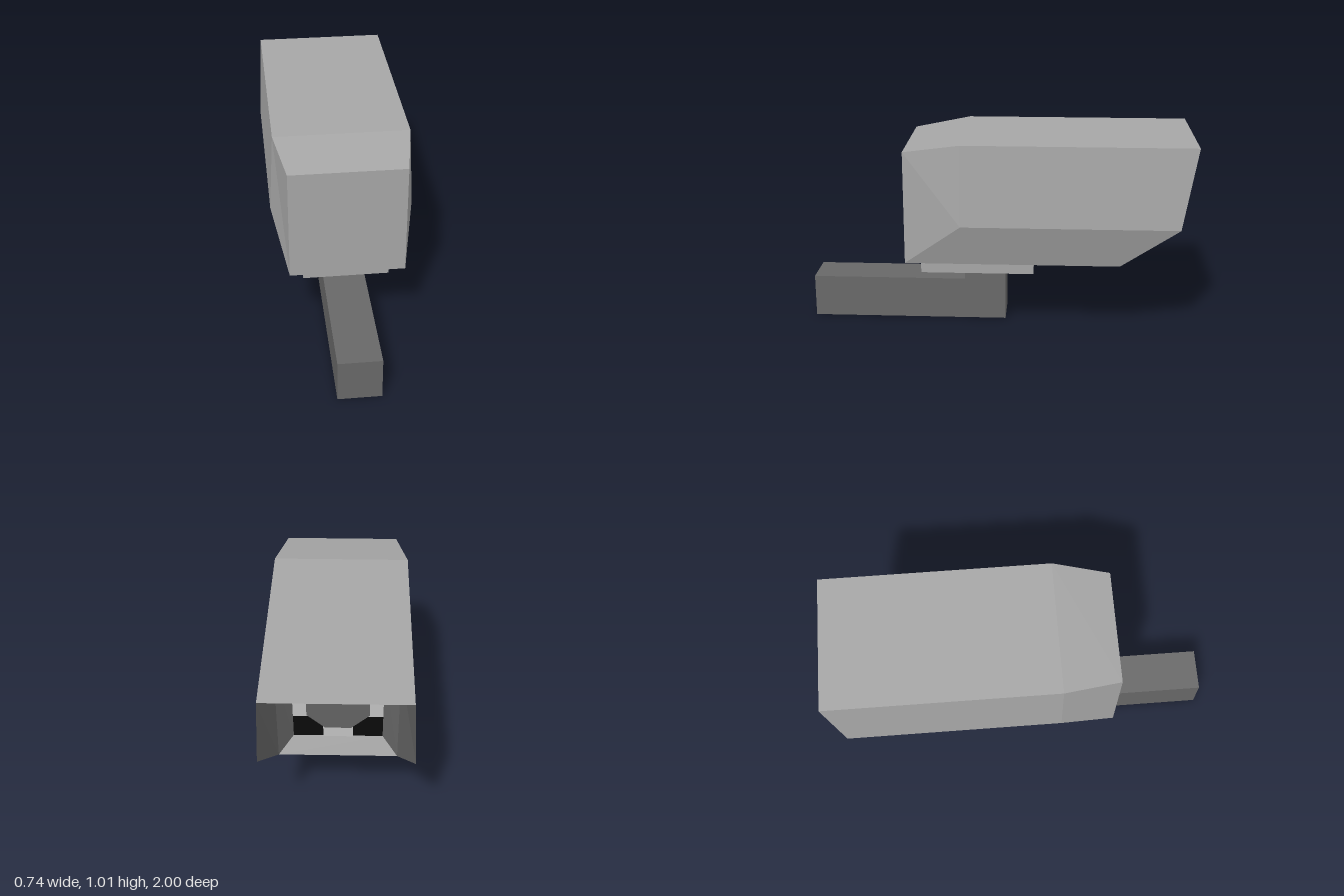
import * as THREE from 'three';

const mat = (name, color) => {
  const m = new THREE.MeshStandardMaterial({ color });
  m.name = name;
  return m;
};

// corner points on the +x side, mirrored for the other side
const P = {
  frontTop: [0.295, 0.965, 0.48],
  frontLow: [0.295, 0.375, 0.48],
  midTop: [0.348, 1.015, 0.185],
  midWaist: [0.37, 0.597, 0.185],
  backTop: [0.348, 1.015, -1],
  backWaist: [0.37, 0.597, -0.925],
  backLow: [0.295, 0.375, -0.63],
  recessTop: [0.295, 0.965, -0.7],
  panelTop: [0.222, 0.885, -0.62],
  panelLow: [0.222, 0.445, -0.56],
};
const flip = ([x, y, z]) => [-x, y, z];

// sides: polygons repeated on both sides; spans: quads across the body
function symmetricGeometry(sides, spans) {
  const pos = [];
  const fan = (pts) => {
    for (let i = 1; i < pts.length - 1; i++) pos.push(...pts[0], ...pts[i], ...pts[i + 1]);
  };
  for (const names of sides) {
    const pts = names.map((n) => P[n]);
    fan(pts);
    fan(pts.map(flip).reverse());
  }
  for (const [a, b] of spans) fan([P[a], flip(P[a]), flip(P[b]), P[b]]);
  const g = new THREE.BufferGeometry();
  g.setAttribute('position', new THREE.Float32BufferAttribute(pos, 3));
  g.computeVertexNormals();
  return g;
}

export function createModel() {
  const model = new THREE.Group();
  model.name = 'securityCamera';
  const grey = mat('housing grey', 0xa6a6a6);
  const dark = mat('dark grey', 0x686868);
  const black = mat('black', 0x0c0c0c);
  const light = mat('light grey', 0xcccccc);

  const add = (parent, name, geometry, material, x = 0, y = 0, z = 0) => {
    const mesh = new THREE.Mesh(geometry, material);
    mesh.name = name;
    mesh.position.set(x, y, z);
    parent.add(mesh);
    return mesh;
  };
  // box given by its half width and its y and z ranges
  const block = (name, w, y0, y1, z0, z1, material) =>
    add(model, name, new THREE.BoxGeometry(2 * w, y1 - y0, z1 - z0), material,
      0, (y0 + y1) / 2, (z0 + z1) / 2);

  // faceted housing
  add(model, 'housing', symmetricGeometry(
    [
      ['frontTop', 'frontLow', 'midWaist', 'midTop'],
      ['midTop', 'midWaist', 'backWaist', 'backTop'],
      ['frontLow', 'backLow', 'backWaist', 'midWaist'],
    ],
    [['backTop', 'midTop'], ['midTop', 'frontTop'], ['frontTop', 'frontLow'], ['frontLow', 'backLow']],
  ), grey);

  // inside of the hood, funnelling in to the lens panel
  add(model, 'hoodInterior', symmetricGeometry(
    [
      ['backTop', 'backWaist', 'backLow', 'recessTop'],
      ['recessTop', 'backLow', 'panelLow', 'panelTop'],
    ],
    [['backLow', 'panelLow'], ['panelTop', 'recessTop'], ['recessTop', 'backTop']],
  ), dark);
  add(model, 'lensPanel', symmetricGeometry([], [['panelLow', 'panelTop']]), black);

  // lens cover and lamps, lying on the tilted panel
  const lens = new THREE.Group();
  lens.name = 'lens';
  lens.position.set(0, 0.665, -0.59);
  lens.lookAt(0, 0.605, -1.03);
  model.add(lens);
  for (let i = 0; i < 4; i++) {
    const a = (i * Math.PI) / 2;
    const lamp = add(lens, 'lamp', new THREE.BoxGeometry(0.148, 0.082, 0.006), light,
      -Math.sin(a) * 0.181, Math.cos(a) * 0.181, 0.002);
    lamp.rotation.z = a;
  }
  const disc = new THREE.CylinderGeometry(0.168, 0.168, 0.009, 8).toNonIndexed();
  disc.rotateY(Math.PI / 8).rotateX(Math.PI / 2);
  disc.computeVertexNormals();
  add(lens, 'lensCover', disc, dark, 0, 0, 0.003);

  // mount
  block('mountPlate', 0.222, 0.298, 0.375, -0.185, 0.405, grey);
  block('mountPost', 0.11, 0.223, 0.298, -0.035, 0.185, dark);
  block('mountArm', 0.11, 0, 0.223, -0.035, 1, dark);

  return model;
}
